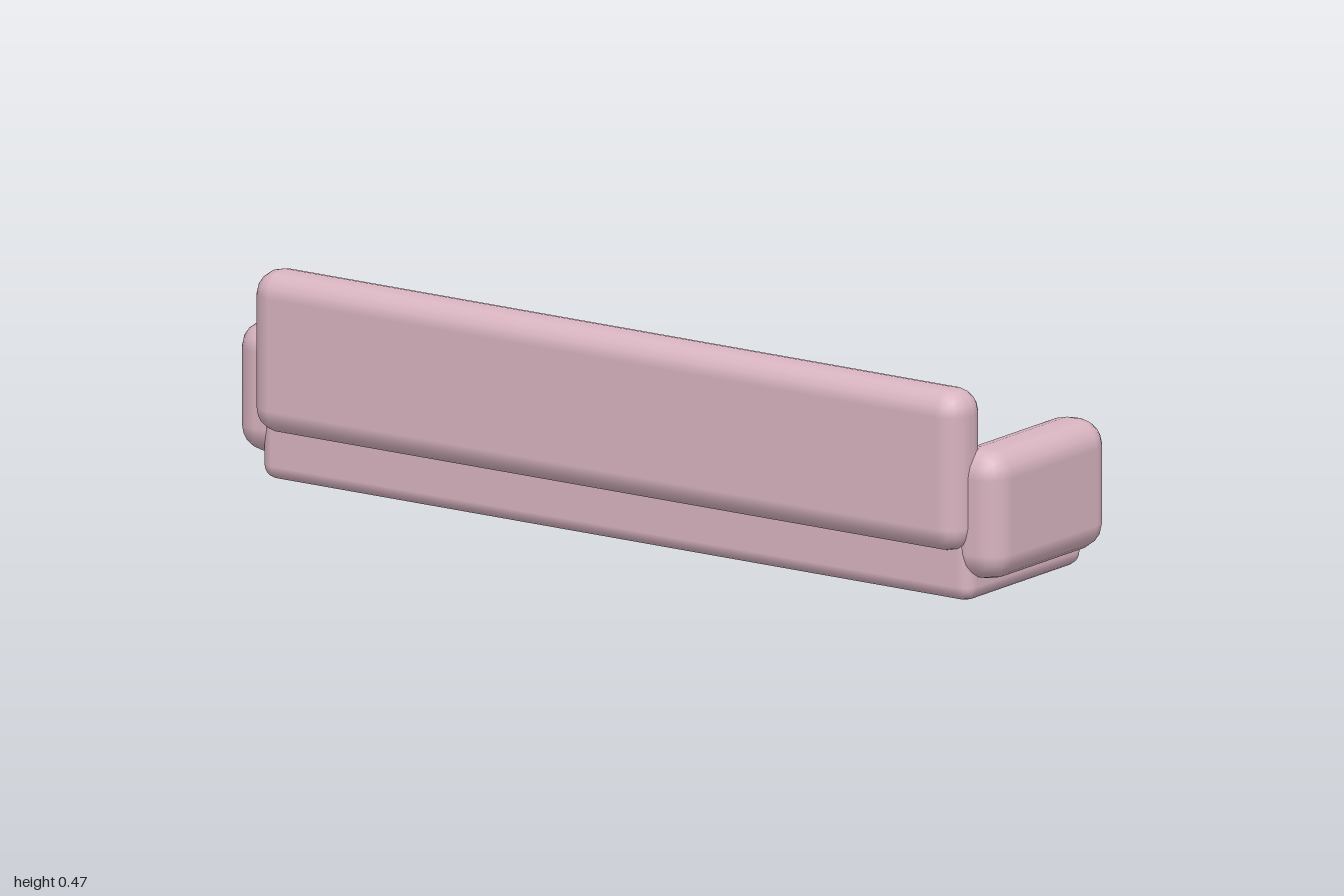
import * as THREE from 'three';
import { RoundedBoxGeometry } from 'three/addons/geometries/RoundedBoxGeometry.js';

export function createModel() {
  const sofa = new THREE.Group();
  sofa.name = 'sofa';

  const fabric = new THREE.MeshStandardMaterial({ color: 0xd8b4c0 });
  fabric.name = 'dusty pink fabric';

  // Padded block given by its [min, max] range on each axis
  function pad(name, [x0, x1], [y0, y1], [z0, z1], radius) {
    const geometry = new RoundedBoxGeometry(x1 - x0, y1 - y0, z1 - z0, 2, radius);
    const mesh = new THREE.Mesh(geometry, fabric);
    mesh.name = name;
    mesh.position.set((x0 + x1) / 2, (y0 + y1) / 2, (z0 + z1) / 2);
    sofa.add(mesh);
  }

  // Base and backrest run the full length; the seat opens towards +x
  pad('base', [-0.192, 0.235], [0, 0.147], [-0.927, 0.927], 0.032);
  pad('backrest', [-0.237, -0.119], [0.11, 0.466], [-0.927, 0.927], 0.055);

  // Armrests at both ends
  pad('leftEndArmrest', [-0.192, 0.235], [0.048, 0.335], [0.861, 1], 0.06);
  pad('rightEndArmrest', [-0.192, 0.235], [0.048, 0.335], [-1, -0.861], 0.06);

  // Four places, each with a seat cushion and a back cushion
  for (let i = 0; i < 4; i++) {
    const z = (i - 1.5) * 0.43;
    pad(`seatCushion${i + 1}`, [-0.113, 0.211], [0.144, 0.217], [z - 0.203, z + 0.203], 0.027);
    pad(`backCushion${i + 1}`, [-0.125, -0.057], [0.228, 0.425], [z - 0.167, z + 0.167], 0.032);
  }

  return sofa;
}
